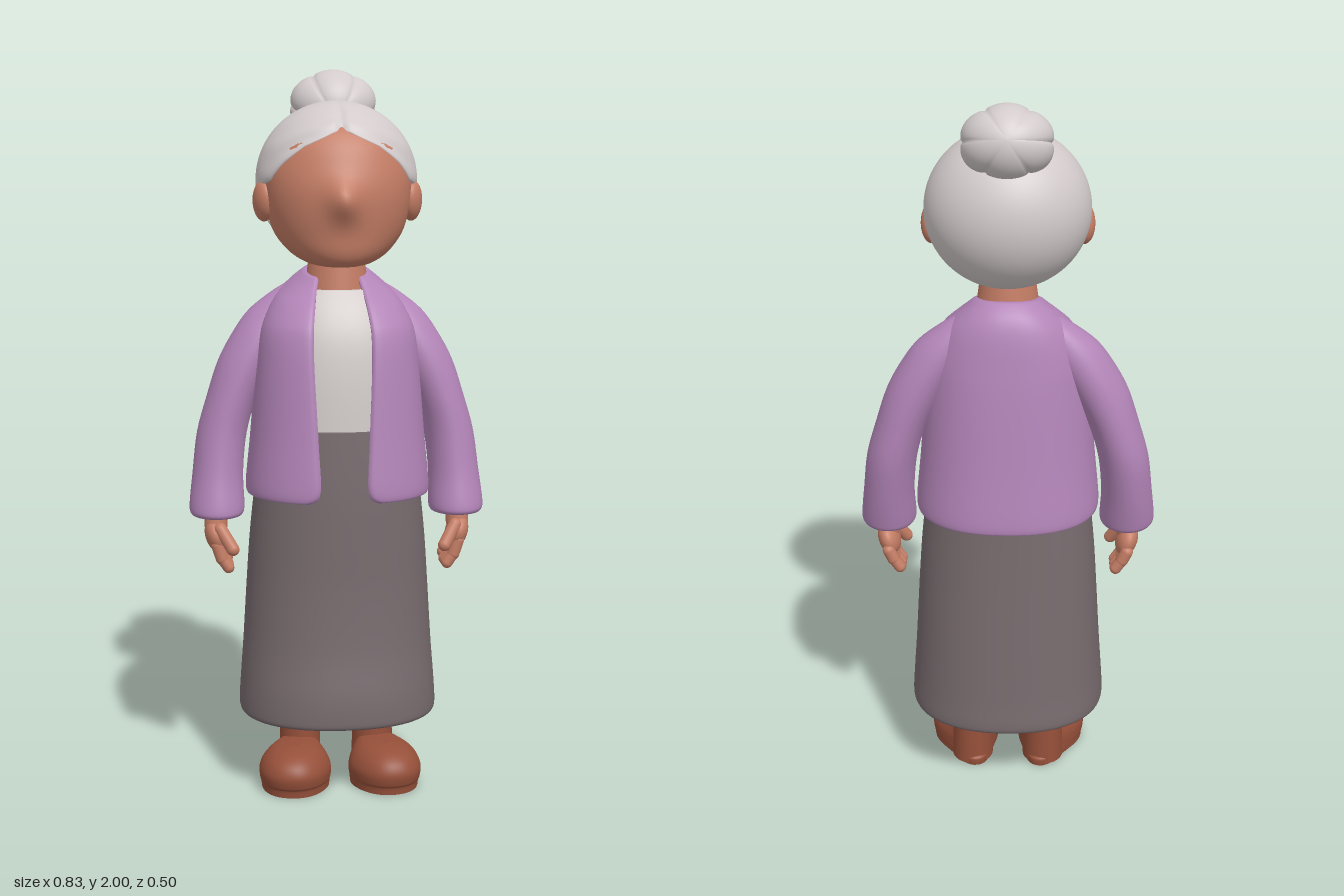
import * as THREE from 'three';

const mat = (name, color) => Object.assign(new THREE.MeshStandardMaterial({ color }), { name });

// Smooth interpolation of a key table; k counts in keys
function at(keys, k) {
  const i = Math.min(Math.floor(k), keys.length - 2), f = k - i;
  const row = j => keys[Math.max(0, Math.min(keys.length - 1, j))];
  return keys[i].map((b, c) => {
    const a = row(i - 1)[c], d = row(i + 1)[c], e = row(i + 2)[c];
    return b + 0.5 * f * (d - a + f * (2 * a - 5 * b + 4 * d - e + f * (3 * (b - d) + e - a)));
  });
}

// Skin over rows of points; rows run upwards, columns run from front towards +x
function skin(rows, { wrapCols = true, wrapRows = false, caps = true } = {}) {
  const pos = rows.flat(2), idx = [], R = rows.length, C = rows[0].length;
  for (let r = 0; r < (wrapRows ? R : R - 1); r++)
    for (let c = 0; c < (wrapCols ? C : C - 1); c++) {
      const r1 = (r + 1) % R, c1 = (c + 1) % C;
      const a = r * C + c, b = r * C + c1, d = r1 * C + c, e = r1 * C + c1;
      idx.push(a, b, d, b, e, d);
    }
  if (caps) [rows[0], rows[R - 1]].forEach((ring, top) => {
    const base = pos.length / 3;
    const mid = [0, 1, 2].map(q => ring.reduce((t, v) => t + v[q], 0) / C);
    pos.push(...ring.flat(), ...mid);
    for (let c = 0; c < C; c++) {
      const c1 = (c + 1) % C;
      idx.push(base + C, base + (top ? c : c1), base + (top ? c1 : c));
    }
  });
  const g = new THREE.BufferGeometry();
  g.setAttribute('position', new THREE.Float32BufferAttribute(pos, 3));
  g.setIndex(idx);
  g.computeVertexNormals();
  return g;
}

const spow = (v, p) => Math.sign(v) * Math.abs(v) ** p;

// Loft of horizontal ovals; key = [y, centre x, half width, back z, front z]
function loft(keys, { p = 1, seg = 56, sub = 5, side = 1, warp = v => v } = {}) {
  const rows = [], n = (keys.length - 1) * sub;
  for (let j = 0; j <= n; j++) {
    const [y, cx, rx, zb, zf] = at(keys, j / sub);
    rows.push(Array.from({ length: seg }, (_, i) => {
      const t = i / seg * Math.PI * 2;
      return warp([cx * side + rx * spow(Math.sin(t), p), y, (zb + zf) / 2 + (zf - zb) / 2 * spow(Math.cos(t), p)]);
    }));
  }
  return skin(rows);
}

// Open-fronted jacket body with rounded edges; key = [y, half width, back z, front z, opening half width]
function openJacket(keys, p, thick) {
  const ease = q => Math.sqrt(1 - (1 - Math.min(1, q)) ** 2);
  const K = keys.length - 1, ks = [0, 0.03, 0.1, 0.2], us = [0, 0.002, 0.006, 0.013];
  for (let k = 0.4; k < K - 0.3; k += 0.2) ks.push(k);
  ks.push(K - 0.2, K - 0.1, K - 0.03, K);
  for (let u = 0.025; u < 0.98; u += 0.0125) us.push(u);
  us.push(0.987, 0.994, 0.998, 1);
  const line = (k, sign) => {
    const [y, rx, zb, zf, w] = at(keys, k);
    const a = Math.asin(Math.min(0.99, w / rx) ** (1 / p));
    return us.map(u => {
      const e = ease(Math.min(k, K - k) / 0.2) * ease(Math.min(u, 1 - u) / 0.013);
      const d = thick / 2 * (1 - sign * e), t = a + u * 2 * (Math.PI - a);
      const z = (zb + zf) / 2 + ((zf - zb) / 2 - d) * spow(Math.cos(t), p);
      const tilt = Math.max(0, Math.min(1, (y - 1.3) / 0.15));
      return [(rx - d) * spow(Math.sin(t), p), y - 0.2 * tilt * (z + 0.1), z];
    });
  };
  const rows = [...ks.map(k => line(k, 1)), ...ks.slice().reverse().map(k => line(k, -1))];
  return skin(rows, { wrapCols: false, wrapRows: true, caps: false });
}

// Hair cap: an ellipsoid cut along a hairline, with a centre parting and waves
function hairCap() {
  const line = [[0, 1.838], [8, 1.828], [30, 1.79], [46, 1.745], [58, 1.7], [70, 1.69], [80, 1.685],
    [84, 1.6], [89, 1.54], [110, 1.507], [180, 1.495]];
  const hairY = deg => {
    const i = Math.max(1, line.findIndex(l => l[0] >= deg)), [a, b] = [line[i - 1], line[i]];
    return a[1] + (b[1] - a[1]) * (deg - a[0]) / (b[0] - a[0]);
  };
  const steps = [[1, 0.87], [1, 0.95], [0.995, 0.985], [0.98, 1]];
  for (let s = 0.95; s > 0.02; s -= 0.025) steps.push([s, 1]);
  const C = 144;
  return skin(steps.map(([s, lip]) => Array.from({ length: C }, (_, i) => {
    const f = i / C * 2 * Math.PI, deg = Math.min(i, C - i) / C * 360;
    const th = s * Math.acos((hairY(deg) - 1.7) / 0.215);
    const front = Math.max(0, Math.cos(f)) * Math.sin(th);
    const x = 0.222 * Math.sin(th) * Math.sin(f);
    const waves = front * Math.max(0, s - 0.3) * 0.02 * Math.sin(s * 24 + Math.abs(x) * 20);
    const r = lip * (1 + waves - 0.045 * front * Math.exp(-((x / 0.012) ** 2)));
    return [x * r, 1.7 + 0.215 * Math.cos(th) * r,
      -0.02 + (Math.cos(f) > 0 ? 0.213 : 0.202) * Math.sin(th) * Math.cos(f) * r];
  })));
}

// Bun: an ellipsoid gathered into six lobes around an axis that points backwards
function bunShape() {
  const g = new THREE.SphereGeometry(1, 96, 32), P = g.attributes.position;
  for (let i = 0; i < P.count; i++) {
    const a = Math.atan2(P.getZ(i), P.getX(i));
    const r = 0.91 + 0.09 * Math.abs(Math.sin(3 * a)) ** 0.5;
    P.setXYZ(i, P.getX(i) * r * 0.124, P.getY(i) * 0.107, P.getZ(i) * r * 0.1);
  }
  g.rotateX(-1.25);
  g.computeVertexNormals();
  return g;
}

export function createModel() {
  const skinMat = mat('skin', 0xc47d65), hair = mat('hair', 0xd3cbcb), purple = mat('cardigan', 0xb486b9);
  const grey = mat('skirt', 0x776b6e), brown = mat('shoe', 0x96503a), white = mat('shirt', 0xd2cbc9);
  purple.side = THREE.DoubleSide;
  const model = new THREE.Group();
  model.name = 'grandmother';
  const add = (name, geo, material, x = 0, y = 0, z = 0) => {
    const m = new THREE.Mesh(geo, material);
    m.name = name;
    m.position.set(x, y, z);
    model.add(m);
    return m;
  };
  const limb = (name, a, b, r, material) => {
    const A = new THREE.Vector3(...a), B = new THREE.Vector3(...b), d = B.clone().sub(A);
    const m = add(name, new THREE.CapsuleGeometry(r, d.length(), 8, 16), material);
    m.position.copy(A).add(B).multiplyScalar(0.5);
    m.quaternion.setFromUnitVectors(new THREE.Vector3(0, 1, 0), d.normalize());
  };

  // Head with a soft nose
  add('head', loft([
    [1.472, 0, 0.05, 0.02, 0.145], [1.482, 0, 0.09, -0.04, 0.178], [1.51, 0, 0.135, -0.1, 0.196],
    [1.56, 0, 0.175, -0.15, 0.204], [1.62, 0, 0.194, -0.17, 0.212], [1.68, 0, 0.202, -0.18, 0.211],
    [1.74, 0, 0.202, -0.18, 0.194], [1.8, 0, 0.184, -0.165, 0.167], [1.85, 0, 0.145, -0.13, 0.12],
    [1.885, 0, 0.06, -0.06, 0.04],
  ], { seg: 72, warp: ([x, y, z]) => [x, y,
    z > 0 ? z + 0.037 * Math.exp(-((x / 0.04) ** 2) - ((y - 1.65) / 0.05) ** 2) : z] }), skinMat);
  add('neck', new THREE.CylinderGeometry(0.074, 0.1, 0.18, 40), skinMat, 0, 1.42, -0.015);
  add('hairCap', hairCap(), hair);
  add('hairBun', bunShape(), hair, 0, 1.9, -0.118);

  // Clothes
  add('skirt', loft([
    [0.205, 0, 0.262, -0.235, 0.232], [0.212, 0, 0.276, -0.248, 0.245], [0.235, 0, 0.279, -0.251, 0.248],
    [0.3, 0, 0.275, -0.245, 0.244], [0.42, 0, 0.266, -0.236, 0.226], [0.58, 0, 0.256, -0.224, 0.214],
    [0.72, 0, 0.246, -0.214, 0.21], [0.86, 0, 0.231, -0.205, 0.206], [1.03, 0, 0.212, -0.195, 0.196],
  ], { p: 0.88, seg: 72 }), grey);
  add('shirt', loft([
    [0.98, 0, 0.2, -0.18, 0.187], [1.15, 0, 0.195, -0.17, 0.178], [1.27, 0, 0.185, -0.16, 0.16],
    [1.35, 0, 0.16, -0.15, 0.128], [1.405, 0, 0.125, -0.13, 0.088],
  ], { p: 0.88 }), white);
  add('cardigan', openJacket([
    [0.838, 0.254, -0.235, 0.23, 0.095], [0.87, 0.256, -0.237, 0.234, 0.068], [1.0, 0.243, -0.222, 0.222, 0.072],
    [1.2, 0.226, -0.202, 0.203, 0.082], [1.3, 0.212, -0.189, 0.182, 0.082], [1.38, 0.178, -0.174, 0.145, 0.076],
    [1.43, 0.134, -0.153, 0.106, 0.07], [1.468, 0.09, -0.118, 0.07, 0.062],
  ], 0.86, 0.022), purple);

  for (const s of [1, -1]) {
    const side = s > 0 ? 'left' : 'right';
    const ear = add(side + 'Ear', new THREE.SphereGeometry(1, 32, 20), skinMat, s * 0.203, 1.645, 0.028);
    ear.scale.set(0.028, 0.056, 0.044);
    ear.rotation.set(0.2, s * -0.3, 0);

    add(side + 'Sleeve', loft([
      [0.77, 0.338, 0.06, -0.07, 0.07], [0.776, 0.338, 0.072, -0.085, 0.085], [0.8, 0.338, 0.077, -0.094, 0.086],
      [0.89, 0.334, 0.071, -0.116, 0.066], [1.0, 0.321, 0.07, -0.136, 0.052], [1.1, 0.292, 0.071, -0.141, 0.047],
      [1.2, 0.25, 0.08, -0.142, 0.042], [1.28, 0.205, 0.082, -0.138, 0.03], [1.34, 0.165, 0.078, -0.128, 0.008],
      [1.39, 0.13, 0.05, -0.11, -0.02], [1.42, 0.11, 0.02, -0.085, -0.05],
    ], { side: s, seg: 40 }), purple);

    // Hand: wrist, palm, curled fingers and thumb
    limb(side + 'Wrist', [s * 0.34, 0.8, 0], [s * 0.342, 0.74, 0.008], 0.032, skinMat);
    const palm = add(side + 'Palm', new THREE.SphereGeometry(1, 24, 16), skinMat, s * 0.341, 0.712, 0.006);
    palm.scale.set(0.031, 0.05, 0.056);
    palm.rotation.z = s * -0.3;
    for (let i = 0; i < 4; i++) {
      const z = -0.042 + i * 0.028, drop = i === 0 ? 0.012 : 0;
      limb(side + 'Finger', [s * 0.34, 0.692, z], [s * 0.327, 0.653 + drop, z], 0.0175, skinMat);
      limb(side + 'Fingertip', [s * 0.327, 0.653 + drop, z], [s * 0.309, 0.627 + drop, z], 0.016, skinMat);
    }
    limb(side + 'Thumb', [s * 0.33, 0.738, 0.045], [s * 0.297, 0.685, 0.07], 0.018, skinMat);

    // Shoe turned slightly outwards, with an ankle shaft
    add(side + 'Ankle', new THREE.CylinderGeometry(0.056, 0.06, 0.22, 32), brown, s * 0.105, 0.115, -0.03)
      .scale.z = 1.12;
    const shoe = add(side + 'Shoe', loft([
      [0, 0, 0.096, -0.075, 0.225], [0.02, 0, 0.098, -0.077, 0.228], [0.03, 0, 0.1, -0.07, 0.235],
      [0.06, 0, 0.1, -0.065, 0.24], [0.09, 0, 0.086, -0.06, 0.225], [0.112, 0, 0.06, -0.04, 0.19],
      [0.121, 0, 0.02, 0.03, 0.14],
    ], { p: 0.9, warp: ([x, y, z]) => [x * (0.62 + 0.4 * THREE.MathUtils.smoothstep(z, -0.04, 0.12)), y, z] }),
    brown, s * 0.105, 0, -0.025);
    shoe.rotation.y = s * 0.2;
  }
  return model;
}
